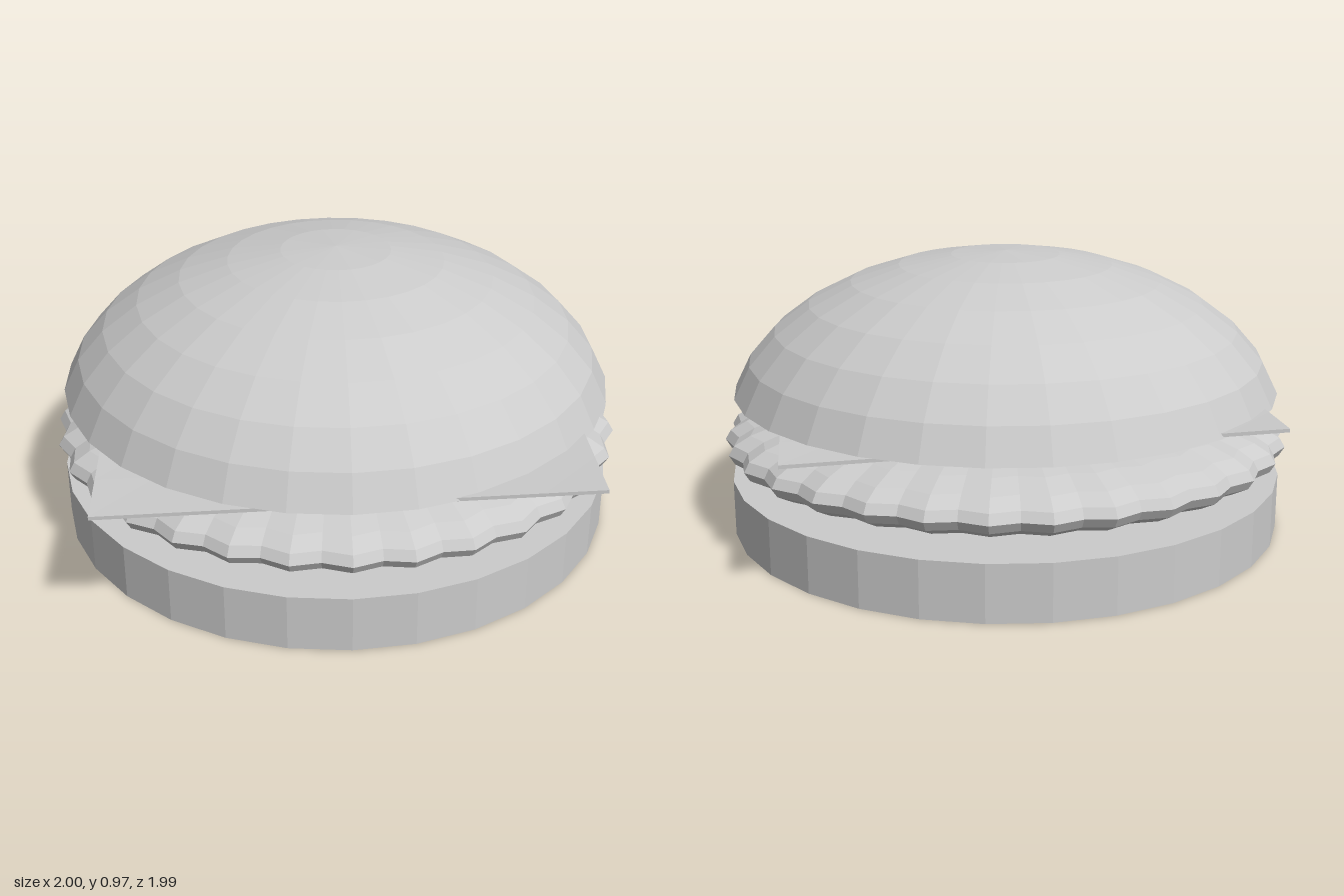
import * as THREE from 'three';

const material = new THREE.MeshStandardMaterial({ color: 0xcccccc, flatShading: true });

// Move every vertex of a geometry by a rule
function reshape(geometry, rule) {
  const pos = geometry.attributes.position;
  const v = new THREE.Vector3();
  for (let i = 0; i < pos.count; i++) {
    rule(v.fromBufferAttribute(pos, i));
    pos.setXYZ(i, v.x, v.y, v.z);
  }
  geometry.computeVertexNormals();
  return geometry;
}

export function createModel() {
  const burger = new THREE.Group();
  burger.name = 'burger';

  function add(name, geometry, y = 0) {
    const mesh = new THREE.Mesh(geometry, material);
    mesh.name = name;
    mesh.position.y = y;
    burger.add(mesh);
  }

  // Flat lower bun
  add('bottomBun', new THREE.CylinderGeometry(0.98, 0.98, 0.195, 30), 0.0975);

  // Flattened filling with a fluted rim
  const filling = reshape(new THREE.SphereGeometry(1, 64, 16), (v) => {
    const ripple = 0.986 + 0.014 * Math.cos(32 * Math.atan2(v.z, v.x));
    v.set(v.x * ripple, v.y * 0.165, v.z * ripple * 0.993);
  });
  add('filling', filling, 0.32);

  // Thin square slice, gently twisted so that opposite corners lift
  const slice = reshape(new THREE.BoxGeometry(1.59, 0.012, 1.665, 8, 1, 8), (v) => {
    v.y += 0.021 * (v.x / 0.795) * (v.z / 0.8325);
    if (v.x > 0) v.x -= 0.01 * v.z;
    v.z += 0.067;
  });
  add('cheeseSlice', slice, 0.485);

  // Domed upper bun: an ellipsoid cut just above its middle, closed underneath
  const profile = [new THREE.Vector2(0, 0.49)];
  for (let i = 7; i >= 0; i--) {
    const a = (i * Math.PI) / 16;
    profile.push(new THREE.Vector2(0.982 * Math.sin(a), 0.374 + 0.596 * Math.cos(a)));
  }
  add('topBun', new THREE.LatheGeometry(profile, 30));

  return burger;
}
